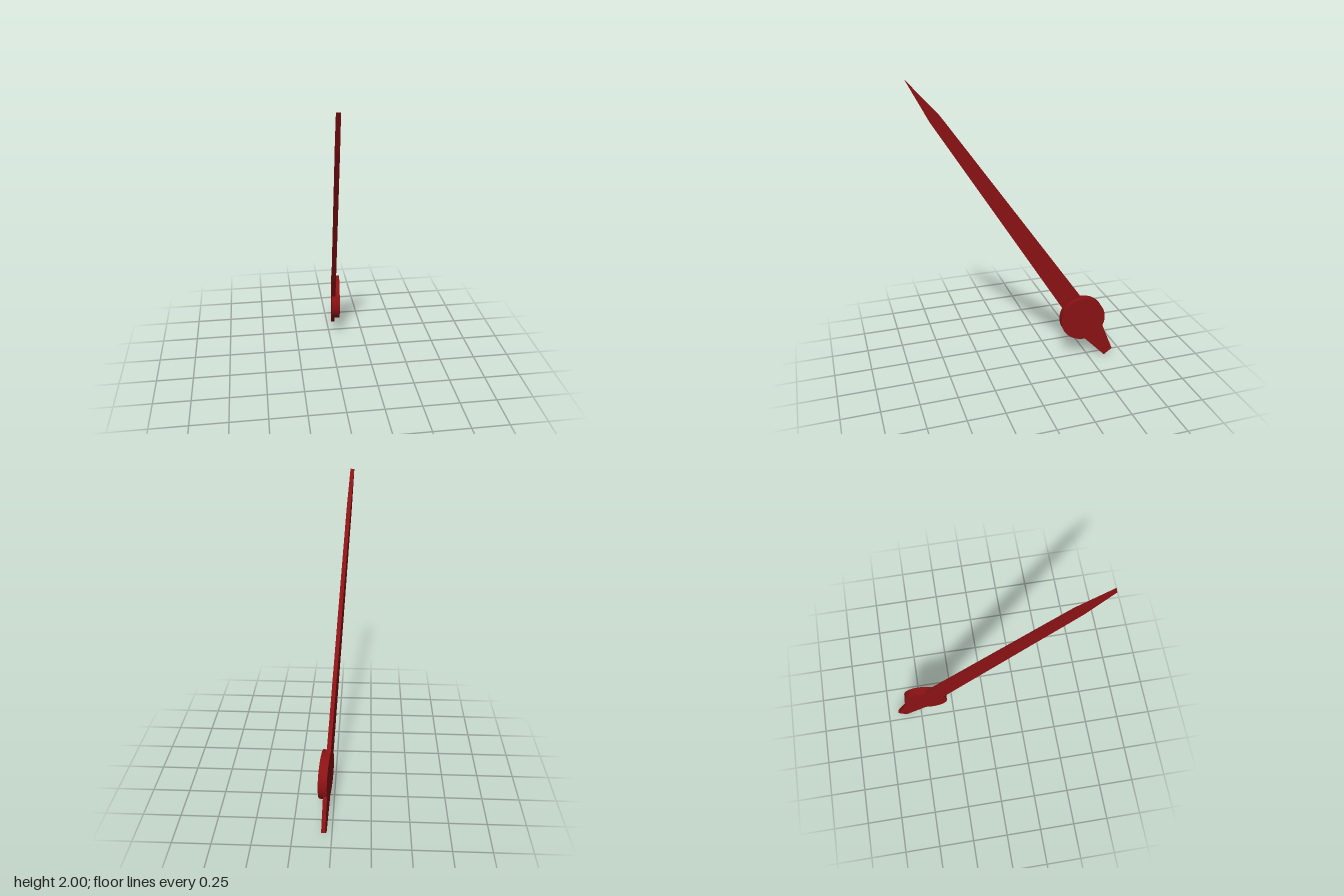
import * as THREE from 'three';

export function createModel() {
  const model = new THREE.Group();
  model.name = 'gaugeNeedle';
  const red = new THREE.MeshStandardMaterial({ color: 0x8b1214 });

  // Flat tapering blade with a pointed tip and a short tail, drawn as (z, y)
  const outline = [
    [0.675, 2.0], [0.48, 1.78], [-0.435, 0.475], [-0.52, 0.38],
    [-0.592, 0.25], [-0.674, 0.045], [-0.617, 0.0], [-0.45, 0.17],
    [-0.37, 0.3], [-0.312, 0.39], [0.545, 1.75],
  ].map(([z, y]) => new THREE.Vector2(z, y));
  const thickness = 0.026;
  const bladeGeo = new THREE.ExtrudeGeometry(new THREE.Shape(outline), {
    depth: thickness, bevelEnabled: false,
  });
  bladeGeo.rotateY(-Math.PI / 2); // thickness now spans x = -0.026 to 0
  const blade = new THREE.Mesh(bladeGeo, red);
  blade.name = 'needleBlade';

  // Round hub, flush with the blade's right face and raised on its left
  const hubDepth = 0.057;
  const hubGeo = new THREE.CylinderGeometry(0.156, 0.156, hubDepth, 48);
  hubGeo.rotateZ(Math.PI / 2);
  const hub = new THREE.Mesh(hubGeo, red);
  hub.name = 'hub';
  hub.position.set(hubDepth / 2 - thickness, 0.325, -0.442);

  // The whole needle is turned slightly about the vertical
  const needle = new THREE.Group();
  needle.name = 'needle';
  needle.add(blade, hub);
  needle.rotation.y = -0.098;
  model.add(needle);
  return model;
}
